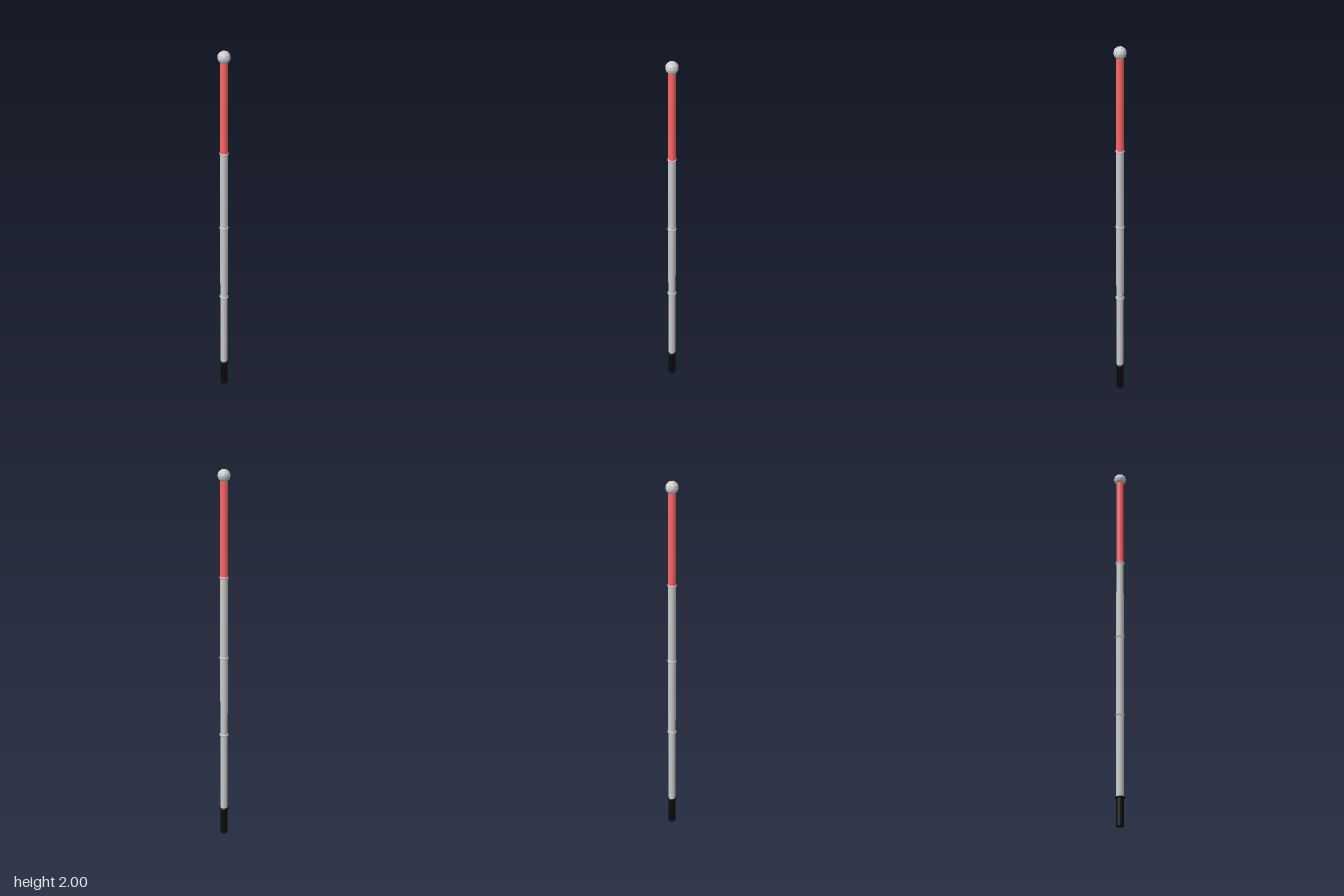
import * as THREE from 'three';

const grey = new THREE.MeshStandardMaterial({ color: 0xcccccc });
const red = new THREE.MeshStandardMaterial({ color: 0xff666a });
const black = new THREE.MeshStandardMaterial({ color: 0x0a0a0a });
const ballGrey = new THREE.MeshStandardMaterial({ color: 0xcccccc, flatShading: true });

const RADIUS = 0.02;
const GRIP_TOP = 0.145, RED_BOTTOM = 1.445, BALL_Y = 1.967, BALL_R = 0.033;

export function createModel() {
  const group = new THREE.Group();

  // Upright rod between two heights
  const rod = (name, y0, y1, radius, material) => {
    const mesh = new THREE.Mesh(new THREE.CylinderGeometry(radius, radius, y1 - y0, 16), material);
    mesh.name = name;
    mesh.position.y = (y0 + y1) / 2;
    group.add(mesh);
  };

  // Thin ring with sloped edges around the shaft
  const collar = (name, y, radius, material) => {
    const profile = [[0.018, -0.006], [radius, -0.003], [radius, 0.003], [0.018, 0.006]];
    const mesh = new THREE.Mesh(
      new THREE.LatheGeometry(profile.map(([r, h]) => new THREE.Vector2(r, h)), 16), material);
    mesh.name = name;
    mesh.position.y = y;
    group.add(mesh);
  };

  // Dark grip with its rim
  rod('grip', 0, GRIP_TOP, 0.0205, black);
  collar('gripRim', GRIP_TOP, 0.024, black);

  // Three equal shaft sections with a collar at each joint
  const step = (RED_BOTTOM - GRIP_TOP) / 3;
  for (let i = 0; i < 3; i++) {
    const y = GRIP_TOP + i * step;
    rod(`shaftSection${i + 1}`, y, y + step, RADIUS, grey);
    collar(`jointCollar${i + 1}`, y + step, 0.0235, grey);
  }

  // Red end section
  rod('redSection', RED_BOTTOM, BALL_Y - 0.02, RADIUS, red);

  // Faceted ball tip, turned so a vertex points up
  const ball = new THREE.Mesh(new THREE.IcosahedronGeometry(BALL_R, 1), ballGrey);
  ball.name = 'ballTip';
  ball.rotation.z = Math.atan(2 / (1 + Math.sqrt(5)));
  ball.position.y = BALL_Y;
  group.add(ball);

  return group;
}
